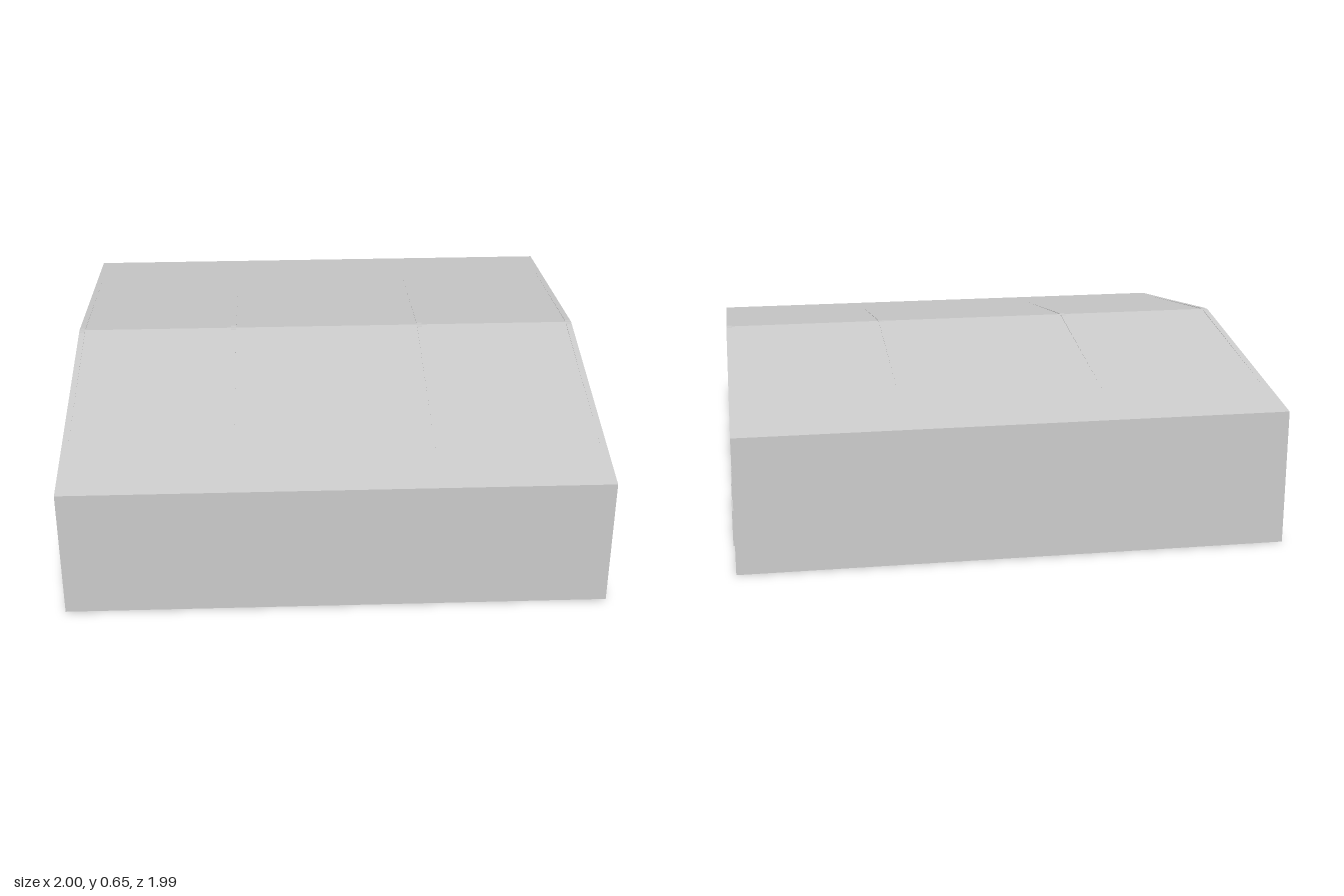
import * as THREE from 'three';

export function createModel() {
  const model = new THREE.Group();
  const material = new THREE.MeshStandardMaterial({ color: 0xcccccc, flatShading: true });
  const halfX = 0.993, halfZ = 0.996, eave = 0.5, ridge = 0.65;

  const add = (name, geometry, parent = model) => {
    const mesh = new THREE.Mesh(geometry, material);
    mesh.name = name;
    parent.add(mesh);
    return mesh;
  };

  // Extrudes an outline drawn in (z, y) along x, centred on x
  const extrudeAlongX = (points, width, x = 0) => {
    const shape = new THREE.Shape(points.map(([z, y]) => new THREE.Vector2(-z, y)));
    return new THREE.ExtrudeGeometry(shape, { depth: width, bevelEnabled: false })
      .translate(0, 0, -width / 2).rotateY(Math.PI / 2).translate(x, 0, 0);
  };

  // Hall with a shallow gable roof
  add('hall', extrudeAlongX([
    [halfZ, 0], [halfZ, eave], [0, ridge], [-halfZ, eave], [-halfZ, 0],
  ], halfX * 2));

  // Roof frames, barely proud at the ridge and sinking into the slopes
  const frames = new THREE.Group();
  frames.name = 'roofFrames';
  model.add(frames);
  for (const x of [-0.98, -0.375, 0.375, 0.98]) {
    const end = 0.8, y = ridge - (ridge - eave) * end / halfZ;
    add('rafterPair', extrudeAlongX([
      [end, y], [0.02, 0.649], [-0.02, 0.649], [-end, y], [-end, y - 0.04], [0, 0.6], [end, y - 0.04],
    ], 0.02, x), frames);
  }

  // Doors and a small centre hatch on both gable walls
  for (const side of [-1, 1]) {
    const doors = new THREE.Group();
    doors.name = side > 0 ? 'leftDoors' : 'rightDoors';
    model.add(doors);
    for (const z of [-0.66, -0.36, 0, 0.36, 0.66]) {
      const [name, width, height] = z === 0 ? ['hatch', 0.05, 0.05] : ['door', 0.12, 0.135];
      add(name, new THREE.BoxGeometry(0.014, height, width), doors)
        .position.set(side * halfX, height / 2, z);
    }
  }
  return model;
}
